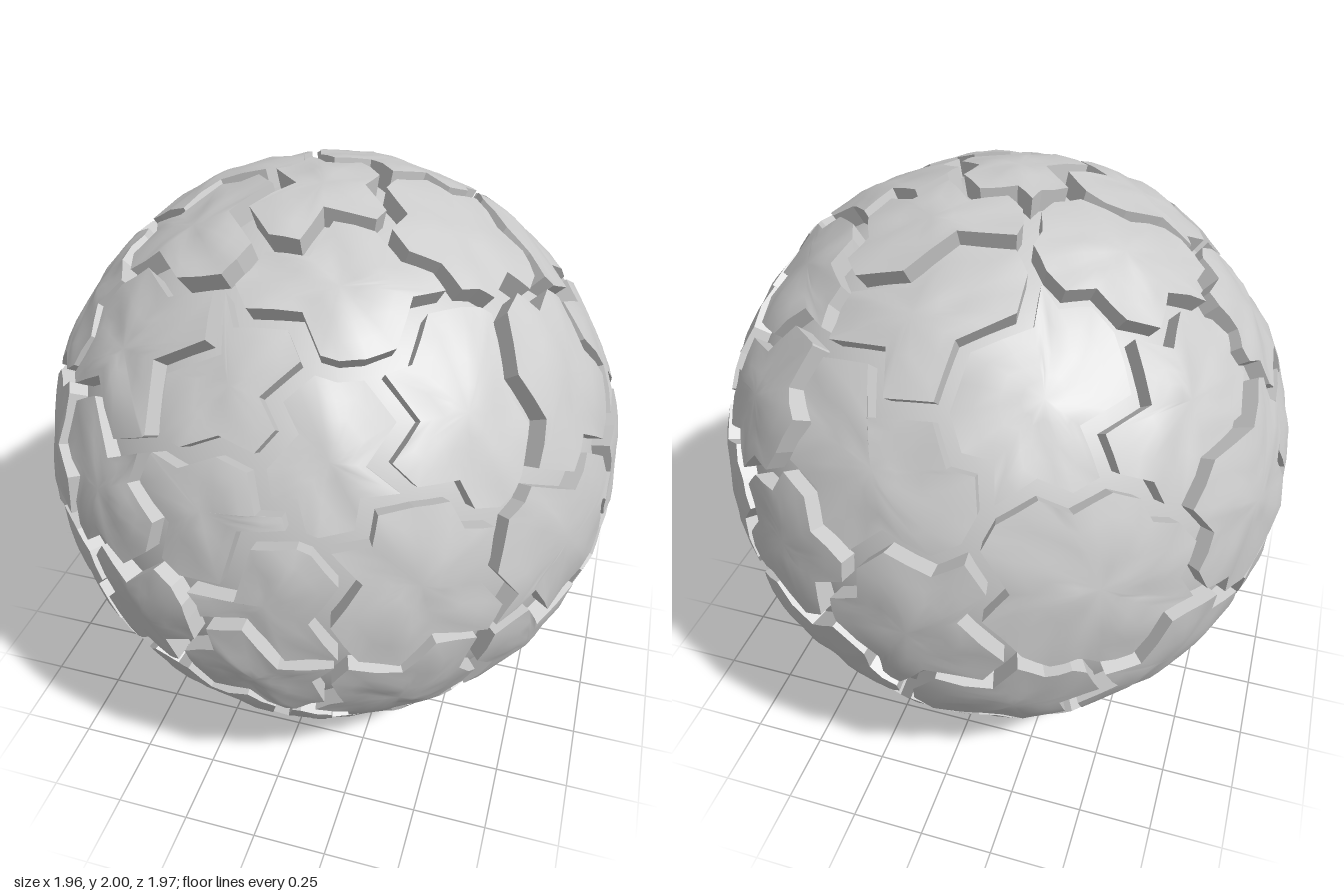
import * as THREE from 'three';
import { ConvexGeometry } from 'three/addons/geometries/ConvexGeometry.js';

const CORE = 0.92, SHELL = 0.977, GAP = 0.028, SPACING = 0.4;
const V = (x, y, z) => new THREE.Vector3(x, y, z);
const depth = (a, b) => Math.sqrt(Math.max(0, 1 - a * a - b * b));

// repeatable pseudo-random value from two integers
function hash(a, b) {
  const s = Math.sin(a * 127.1 + b * 311.7 + 17.3) * 43758.5453;
  return s - Math.floor(s);
}

// coarse and fine lumps of the plate surface, slightly fuller at both poles
const lump = (p) =>
  0.006 * Math.sin(9 * p.x + 5 * p.y + 1) * Math.sin(11 * p.z - 4 * p.y) +
  0.005 * Math.sin(21 * p.y + 9 * p.x) * Math.sin(19 * p.x - 13 * p.z + 2) +
  0.004 * Math.sin(33 * p.z + 14 * p.y) * Math.sin(29 * p.x + 17 * p.y + 4) +
  0.018 * p.y ** 6;

// plate centres: placed ones on the front, left side and top, then the widest holes are filled
function plateCentres() {
  const front = [[-0.08, 0.63], [0.22, 0.53], [-0.09, 0.34], [-0.52, 0.24], [0.08, 0.07], [0.45, 0.16],
    [-0.37, -0.14], [0, -0.25], [0.42, -0.42], [-0.43, 0.64], [0.52, 0.6], [-0.2, -0.52],
    [-0.55, -0.55], [-0.7, -0.22], [0.08, -0.72], [-0.82, 0.1]];
  const side = [[0.25, 0.5], [-0.12, 0.07], [0.42, 0.1], [-0.17, 0.45], [0.38, 0.74], [-0.3, 0.74],
    [-0.55, 0], [0.03, -0.34], [0.42, -0.42], [-0.02, -0.68], [-0.5, -0.45], [-0.6, 0.45], [0, -0.97]];
  const top = [[0, 0.12], [0.37, 0.05], [-0.35, 0.22], [-0.42, -0.17], [0.17, -0.25], [-0.3, -0.63],
    [0.42, -0.4], [0.05, -0.55]];
  const wanted = [
    ...front.map(([x, y]) => V(x, y, depth(x, y))),
    ...side.map(([z, y]) => V(depth(z, y), y, z)),
    ...top.map(([x, z]) => V(x, depth(x, z), z)),
  ];
  const centres = [];
  const clearance = (p) => centres.reduce((d, c) => Math.min(d, c.distanceTo(p)), 9);
  for (const p of wanted) if (clearance(p.normalize()) > 0.27) centres.push(p);

  const N = 1500, candidates = [];
  for (let i = 0; i < N; i++) {
    const y = 1 - (2 * i + 1) / N, r = Math.sqrt(1 - y * y), a = i * 2.39996;
    candidates.push(V(r * Math.cos(a), y, r * Math.sin(a)));
  }
  for (;;) {
    let best = null, gap = SPACING;
    for (const p of candidates) {
      const d = clearance(p);
      if (d > gap) { gap = d; best = p; }
    }
    if (!best) return centres;
    centres.push(best);
  }
}

// cell corners around every centre, from the faces of the convex hull
function cellCorners(centres) {
  const pos = new ConvexGeometry(centres).getAttribute('position');
  const cells = centres.map(() => []);
  const p = [V(), V(), V()];
  for (let f = 0; f < pos.count / 3; f++) {
    p.forEach((v, k) => v.fromBufferAttribute(pos, f * 3 + k));
    const n = p[1].clone().sub(p[0]).cross(p[2].clone().sub(p[0])).normalize();
    for (const v of p) {
      let near = 0;
      centres.forEach((c, i) => { if (c.distanceTo(v) < centres[near].distanceTo(v)) near = i; });
      cells[near].push({ id: f, n });
    }
  }
  return cells;
}

// crooked crack line between two corners, identical from both sides
function crackLine(a, b) {
  const flip = a.id > b.id, [s, e] = flip ? [b, a] : [a, b];
  const along = e.n.clone().sub(s.n), len = along.length();
  const across = s.n.clone().cross(along).normalize();
  const sign = hash(s.id, e.id) < 0.5 ? -1 : 1;
  const bends = len < 0.12 ? [] : len < 0.22 ? [0.5] : [0.36, 0.62];
  const pts = bends.map((t, i) => {
    const swing = sign * (i ? -1 : 1) * len * (0.05 + 0.13 * hash(s.id + i * 7, e.id + 3));
    const shift = (hash(s.id, e.id + i * 5 + 9) - 0.5) * 0.16;
    return s.n.clone().addScaledVector(along, t + shift).addScaledVector(across, swing).normalize();
  });
  if (flip) pts.reverse();
  return [a.n, ...pts];
}

// move every edge of an outline inwards by the same distance
function insetOutline(pts, distance) {
  const n = pts.length;
  const inward = pts.map((p, i) => p.clone().cross(pts[(i + 1) % n].clone().sub(p)).normalize());
  return pts.map((p, i) => {
    const a = inward[(i + n - 1) % n], b = inward[i];
    const mitre = distance / Math.max(0.7, 1 + a.dot(b));
    return p.clone().addScaledVector(a, mitre).addScaledVector(b, mitre).normalize();
  });
}

// one plate: lumpy, slightly tilted top in rings, with straight walls down into the core
function plateGeometry(centre, corners, index) {
  const u = V(0.31, 0.87, 0.39).cross(centre).normalize(), w = centre.clone().cross(u);
  const angle = (c) => Math.atan2(c.n.dot(w), c.n.dot(u));
  // corners almost on top of each other count once
  const sorted = corners.slice().sort((a, b) => angle(a) - angle(b));
  const raw = sorted.flatMap((c, i) => crackLine(c, sorted[(i + 1) % sorted.length]));
  const outline = raw.filter((p, i) => p.distanceTo(raw[(i + 1) % raw.length]) > 0.03);
  const inset = insetOutline(outline, GAP);
  const mid = inset.reduce((s, p) => s.add(p), V()).normalize();
  const rim = inset.flatMap((p, i) => [p, p.clone().lerp(inset[(i + 1) % inset.length], 0.5)]);

  const base = SHELL + (hash(index, 4) - 0.5) * 0.008;
  const tilt = [hash(index, 11) - 0.5, hash(index, 23) - 0.5].map((t) => t * 0.04);
  const lift = (p) => {
    const d = p.clone().normalize();
    return d.multiplyScalar(base + lump(d) + tilt[0] * d.dot(u) + tilt[1] * d.dot(w));
  };
  const verts = [], faces = [], n = rim.length;
  const add = (p) => verts.push(p.x, p.y, p.z) / 3 - 1;

  const hub = add(lift(mid));
  const rings = [0.25, 0.5, 0.75, 1].map((t) => rim.map((p) => add(lift(mid.clone().lerp(p, t)))));
  for (let i = 0; i < n; i++) {
    const j = (i + 1) % n;
    faces.push(hub, rings[0][i], rings[0][j]);
    for (let r = 0; r < 3; r++) {
      const [a, b] = [rings[r], rings[r + 1]];
      faces.push(a[i], b[i], b[j], a[i], b[j], a[j]);
    }
    const [A, B] = [lift(rim[i]), lift(rim[j])];
    const foot = (p) => p.clone().setLength(CORE - 0.01);
    const q = [foot(A), foot(B), B, A].map(add);
    faces.push(q[0], q[1], q[2], q[0], q[2], q[3]);
  }
  const g = new THREE.BufferGeometry();
  g.setAttribute('position', new THREE.Float32BufferAttribute(verts, 3));
  g.setIndex(faces);
  g.computeVertexNormals();
  return g;
}

export function createModel() {
  const group = new THREE.Group();
  group.name = 'crackedBall';
  const material = new THREE.MeshStandardMaterial({ color: 0xcccccc });

  // smooth core seen at the bottom of the cracks
  const core = new THREE.Mesh(new THREE.SphereGeometry(CORE, 64, 40), material);
  core.name = 'core';
  group.add(core);

  // raised plates
  const plates = new THREE.Group();
  plates.name = 'plates';
  const centres = plateCentres();
  cellCorners(centres).forEach((corners, i) => {
    const plate = new THREE.Mesh(plateGeometry(centres[i], corners, i), material);
    plate.name = 'plate' + (i + 1);
    plates.add(plate);
  });
  group.add(plates);

  // stand it on the ground, centred
  const box = new THREE.Box3().setFromObject(group, true);
  const middle = box.getCenter(V());
  group.position.set(-middle.x, -box.min.y, -middle.z);
  return group;
}
